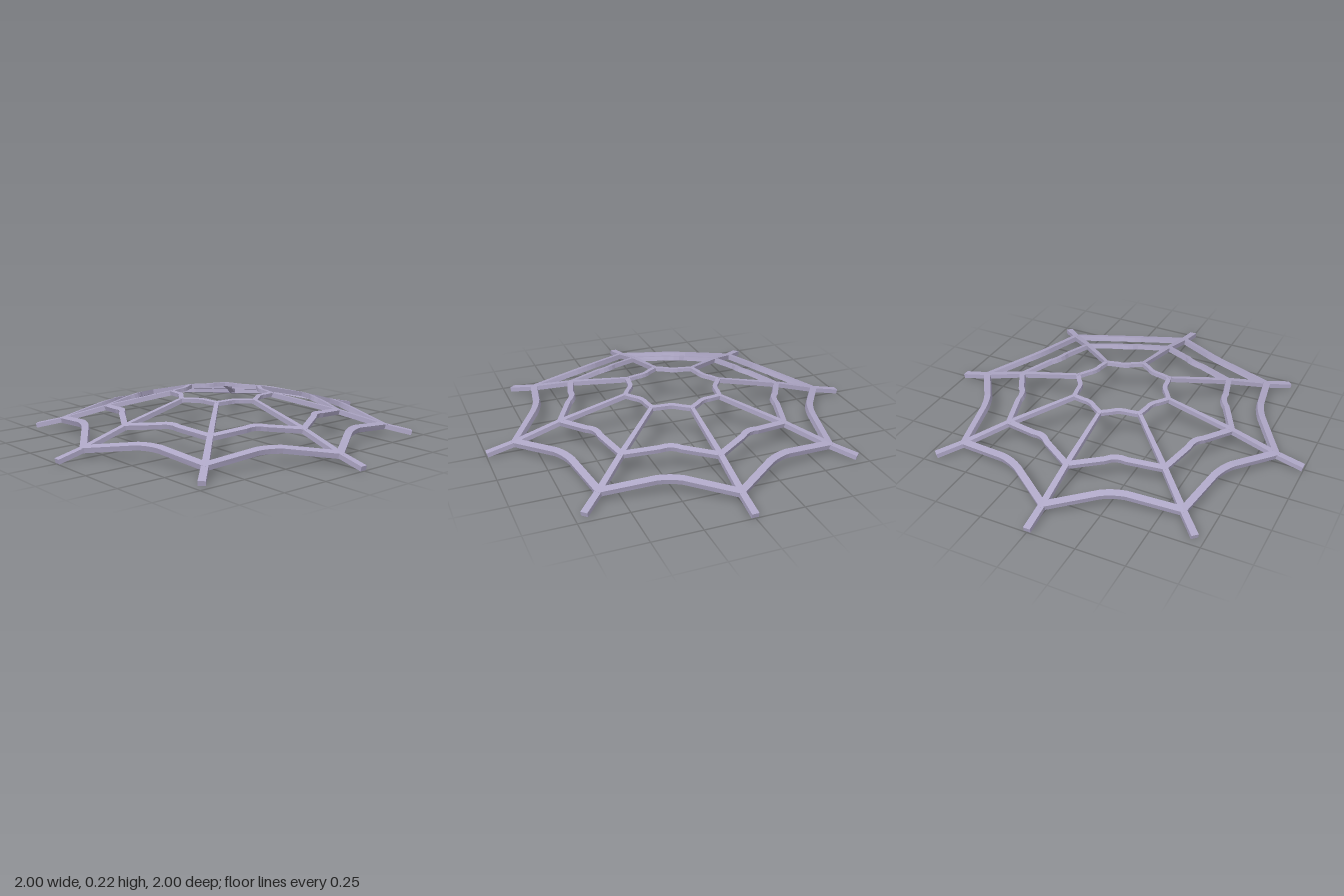
import * as THREE from 'three';

const SIDES = 8;
// Height of the dome at a given distance from the centre: [radius, height]
const PROFILE = [[0.2, 0.207], [0.265, 0.203], [0.52, 0.144], [0.61, 0.118], [0.73, 0.08], [0.85, 0.046], [0.997, 0.012]];

function domeHeight(r) {
  let i = 1;
  while (i < PROFILE.length - 1 && r > PROFILE[i][0]) i++;
  const [r0, y0] = PROFILE[i - 1], [r1, y1] = PROFILE[i];
  return y0 + (y1 - y0) * (r - r0) / (r1 - r0);
}

function domePoint(r, angle) {
  return new THREE.Vector3(Math.sin(angle) * r, domeHeight(r), Math.cos(angle) * r);
}

// Sweep a rectangular bar along points, mitring the corners
function bar(points, widths, height, closed, tilt) {
  const n = points.length, pos = [], index = [];
  points.forEach((p, i) => {
    const prev = closed ? points[(i + n - 1) % n] : points[Math.max(i - 1, 0)];
    const next = closed ? points[(i + 1) % n] : points[Math.min(i + 1, n - 1)];
    const a = p.clone().sub(prev).normalize(), b = next.clone().sub(p).normalize();
    const t = a.clone().add(b).normalize();
    const miter = Math.max(t.dot(b), t.dot(a));
    const up = new THREE.Vector3(p.x, 0, p.z).normalize().multiplyScalar(tilt).setY(1);
    const side = up.clone().cross(t).normalize();
    up.copy(t).cross(side);
    for (const [s, u] of [[-1, -1], [1, -1], [1, 1], [-1, 1]]) {
      const v = p.clone().addScaledVector(side, s * widths[i] / 2 / miter).addScaledVector(up, u * height / 2);
      pos.push(v.x, v.y, v.z);
    }
  });
  for (let i = 0; i < (closed ? n : n - 1); i++) {
    const j = (i + 1) % n;
    for (let k = 0; k < 4; k++) {
      const l = (k + 1) % 4;
      index.push(i * 4 + k, i * 4 + l, j * 4 + l, i * 4 + k, j * 4 + l, j * 4 + k);
    }
  }
  if (!closed) {
    const e = (n - 1) * 4;
    index.push(0, 2, 1, 0, 3, 2, e, e + 1, e + 2, e, e + 2, e + 3);
  }
  const indexed = new THREE.BufferGeometry();
  indexed.setAttribute('position', new THREE.Float32BufferAttribute(pos, 3));
  indexed.setIndex(index);
  const geometry = indexed.toNonIndexed();
  geometry.computeVertexNormals();
  return geometry;
}

export function createModel() {
  const model = new THREE.Group();
  model.name = 'spiderWeb';
  const silk = new THREE.MeshStandardMaterial({ color: 0xaea7c6 });
  silk.name = 'lavender grey silk';
  const add = (name, geometry) => {
    const mesh = new THREE.Mesh(geometry, silk);
    mesh.name = name;
    model.add(mesh);
  };
  const step = Math.PI * 2 / SIDES;

  // Radial threads, thicker toward the rim
  const radii = [0.255, 0.61, 0.85, 0.997];
  for (let i = 0; i < SIDES; i++) {
    add('spoke' + (i + 1), bar(radii.map(r => domePoint(r, i * step)), [0.02, 0.029, 0.034, 0.036], 0.024, false, 0));
  }

  // Sagging rings: joint radius, bend start radius, middle radius, bend half angle
  const rings = [
    ['innerRing', 0.262, 0.235, 0.221, 0.19, 0.024, 0.02],
    ['middleRing', 0.612, 0.545, 0.53, 0.1, 0.03, 0.024],
    ['outerRing', 0.85, 0.733, 0.726, 0.085, 0.036, 0.027],
  ];
  for (const [name, joint, bend, middle, half, width, height] of rings) {
    const points = [];
    for (let i = 0; i < SIDES; i++) {
      points.push(domePoint(joint, i * step));
      for (const f of [-1, -0.5, 0, 0.5, 1]) {
        points.push(domePoint(middle + (bend - middle) * f * f, (i + 0.5) * step + f * half));
      }
    }
    add(name, bar(points, points.map(() => width), height, true, name === 'innerRing' ? 0.1 : 0.27));
  }
  return model;
}
